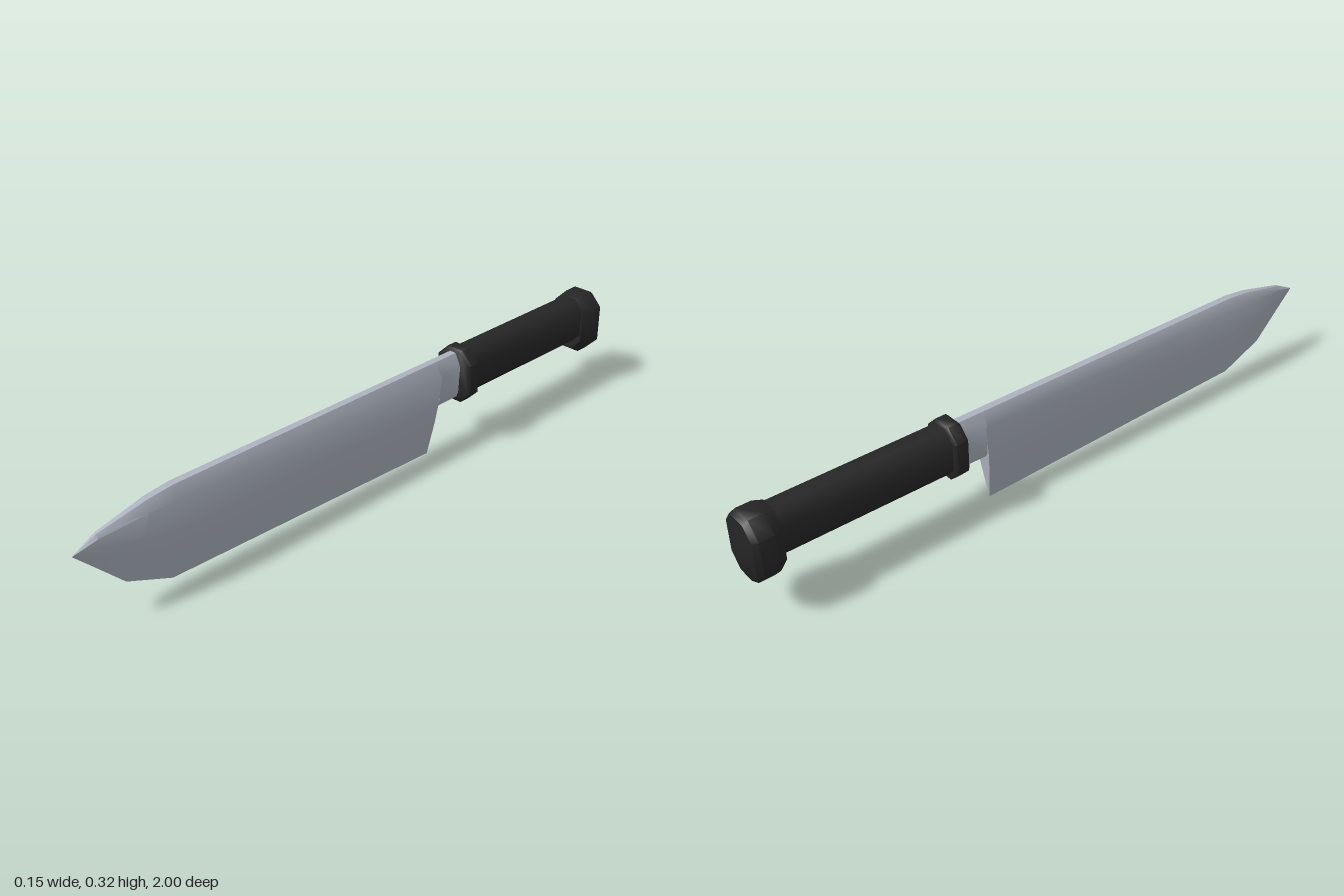
import * as THREE from 'three';
import { toCreasedNormals } from 'three/addons/utils/BufferGeometryUtils.js';

const steel = new THREE.MeshStandardMaterial({ color: 0xadb3bf });
steel.name = 'steel';
const grip = new THREE.MeshStandardMaterial({ color: 0x262626 });
grip.name = 'black grip';

// Skins a series of rings (anticlockwise seen from +z, ordered towards +z) and caps both ends.
function loft(name, rings, material, crease) {
  const n = rings[0].length;
  const index = [];
  for (let i = 0; i < rings.length - 1; i++) {
    for (let j = 0; j < n; j++) {
      const a = i * n + j, b = i * n + (j + 1) % n;
      index.push(a, b, b + n, a, b + n, a + n);
    }
  }
  const last = (rings.length - 1) * n;
  for (let j = 1; j < n - 1; j++) {
    index.push(0, j + 1, j, last, last + j, last + j + 1);
  }
  const geometry = new THREE.BufferGeometry();
  geometry.setAttribute('position', new THREE.Float32BufferAttribute(rings.flat(2), 3));
  geometry.setIndex(index);
  const mesh = new THREE.Mesh(toCreasedNormals(geometry, crease), material);
  mesh.name = name;
  return mesh;
}

// Blade half-section: [share of the way from spine to edge, half width]
const SECTION = [[0, 0.011], [0.13, 0.031], [0.45, 0.027], [0.65, 0.019], [1, 0]];
const BLADE_X = -0.004;

function bladeRing([zTop, yTop, zBottom, yBottom, width]) {
  const point = (side) => ([t, w]) => [
    BLADE_X + side * w * width,
    THREE.MathUtils.lerp(yTop, yBottom, t),
    THREE.MathUtils.lerp(zTop, zBottom, t),
  ];
  const right = SECTION.map(point(1)).reverse();
  const left = SECTION.slice(0, -1).map(point(-1));
  return [...right, ...left];
}

// Tang section between the blade heel and the bolster
function tangRing(z) {
  const half = [[0.02, 0.168], [0.027, 0.185], [0.031, 0.272], [0.011, 0.312]];
  return [
    ...half.map(([x, y]) => [BLADE_X + x, y, z]),
    ...half.map(([x, y]) => [BLADE_X - x, y, z]).reverse(),
  ];
}

// Eight-sided handle section with chamfered corners
function octagonRing([z, y0, y1, hx]) {
  const cy = (y0 + y1) / 2, hy = (y1 - y0) / 2;
  const fx = 0.43, fy = 0.57;
  return [[1, -fy], [1, fy], [fx, 1], [-fx, 1], [-1, fy], [-1, -fy], [-fx, -1], [fx, -1]]
    .map(([x, y]) => [x * hx - 0.001, cy + y * hy, z]);
}

export function createModel() {
  const knife = new THREE.Group();
  knife.name = 'kitchenKnife';

  // Spine z, y, cutting edge z, y, thickness
  knife.add(loft('blade', [
    [-0.275, 0.312, -0.245, 0.003, 1],
    [0.70, 0.312, 0.72, 0.03, 1],
    [0.78, 0.303, 0.86, 0.09, 0.9],
    [0.93, 0.27, 0.95, 0.183, 0.42],
    [1.0, 0.236, 1.0, 0.234, 0.02],
  ].map(bladeRing), steel, 0.7));

  knife.add(loft('tang', [-0.37, -0.265].map(tangRing), steel, 0.7));

  // Handle parts: z, bottom y, top y, half width
  knife.add(loft('bolster', [
    [-0.397, 0.16, 0.315, 0.058],
    [-0.39, 0.15, 0.323, 0.066],
    [-0.357, 0.15, 0.323, 0.066],
    [-0.35, 0.158, 0.316, 0.06],
  ].map(octagonRing), grip, 0.9));

  knife.add(loft('handle', [
    [-0.93, 0.167, 0.314, 0.054],
    [-0.38, 0.167, 0.314, 0.054],
  ].map(octagonRing), grip, 0.9));

  knife.add(loft('pommel', [
    [-1.0, 0.137, 0.312, 0.064],
    [-0.985, 0.123, 0.323, 0.074],
    [-0.94, 0.123, 0.323, 0.074],
    [-0.912, 0.14, 0.316, 0.058],
  ].map(octagonRing), grip, 0.9));

  return knife;
}
